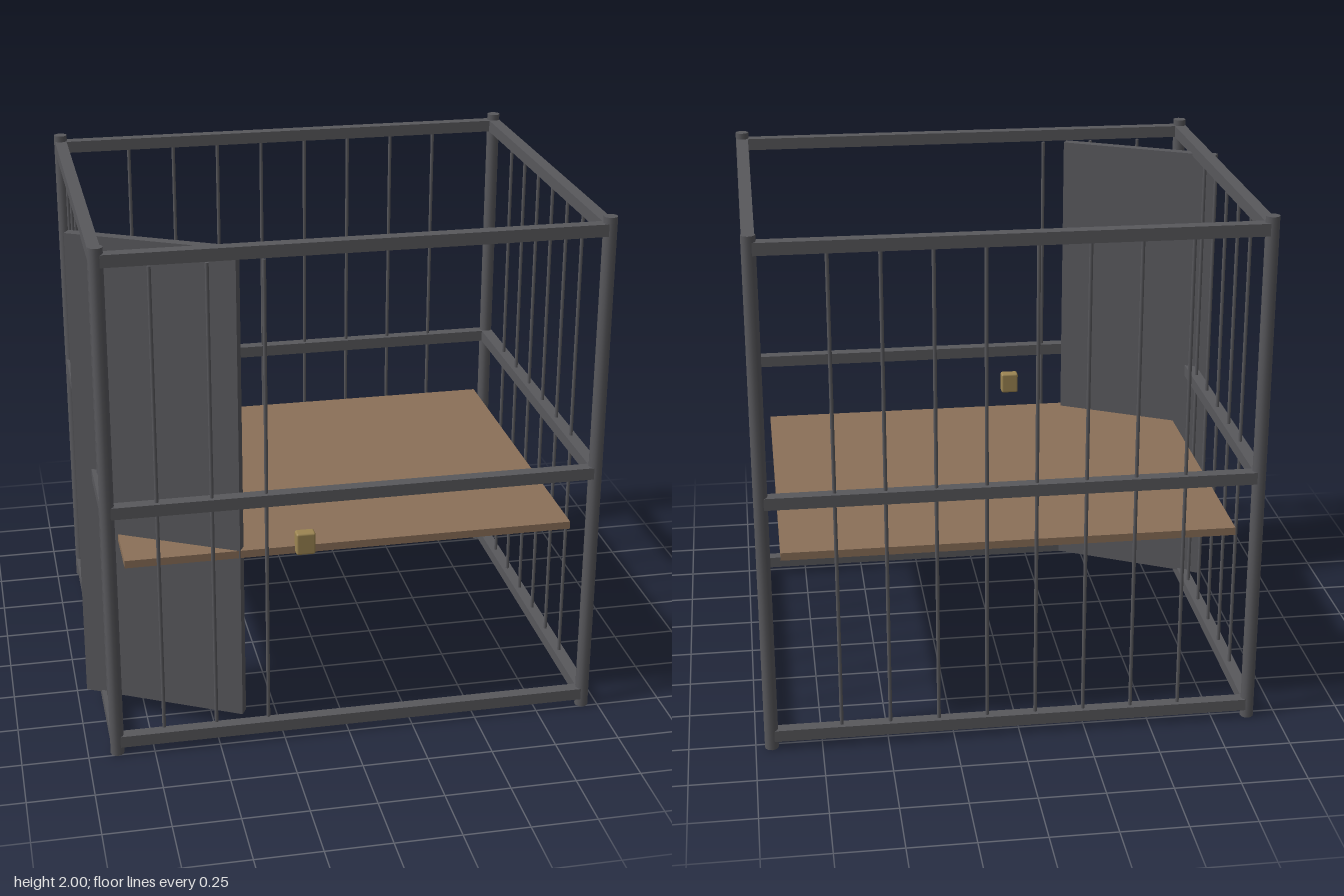
import * as THREE from 'three';
import { RoundedBoxGeometry } from 'three/addons/geometries/RoundedBoxGeometry.js';

const steel = new THREE.MeshStandardMaterial({ color: 0x58585c });
const wood = new THREE.MeshStandardMaterial({ color: 0x8b7058 });
const brass = new THREE.MeshStandardMaterial({ color: 0x9c8552 });

const X0 = -0.89, X1 = 0.94, Z0 = -0.77, Z1 = 0.73;
const CX = (X0 + X1) / 2, CZ = (Z0 + Z1) / 2, MID_Y = 1.005;

function add(parent, name, geometry, material, x, y, z) {
  const mesh = new THREE.Mesh(geometry, material);
  mesh.name = name;
  mesh.position.set(x, y, z);
  parent.add(mesh);
  return mesh;
}

export function createModel() {
  const cage = new THREE.Group();
  cage.name = 'cage';

  // Corner posts
  const postGeo = new THREE.CylinderGeometry(0.026, 0.026, 2, 12);
  for (const x of [X0, X1]) {
    for (const z of [Z0, Z1]) add(cage, 'cornerPost', postGeo, steel, x, 1, z);
  }

  // Horizontal rails at three heights, running post centre to post centre
  const railX = new THREE.BoxGeometry(X1 - X0, 0.046, 0.046);
  const railZ = new THREE.BoxGeometry(0.046, 0.046, Z1 - Z0);
  for (const y of [0.055, MID_Y, 1.953]) {
    add(cage, 'frontRail', railX, steel, CX, y, Z1);
    add(cage, 'backRail', railX, steel, CX, y, Z0);
    add(cage, 'rightRail', railZ, steel, X0, y, CZ);
    add(cage, 'leftRail', railZ, steel, X1, y, CZ);
  }

  // Thin vertical bars: eight at the back, six on each side
  const barGeo = new THREE.CylinderGeometry(0.007, 0.007, 1.88, 8);
  const step = 0.184;
  for (let i = 0; i < 8; i++) {
    add(cage, 'backBar', barGeo, steel, 0.031 + (i - 3.5) * step, MID_Y, Z0);
  }
  for (let i = 0; i < 6; i++) {
    const z = CZ - 0.003 + (i - 2.5) * step;
    add(cage, 'rightBar', barGeo, steel, X0, MID_Y, z);
    add(cage, 'leftBar', barGeo, steel, X1, MID_Y, z);
  }

  // Three shorter bars beside the door opening
  const frontBarGeo = new THREE.CylinderGeometry(0.007, 0.007, 1.83, 8);
  for (const x of [-0.71, -0.51, -0.31]) {
    add(cage, 'frontBar', frontBarGeo, steel, x, MID_Y, Z1);
  }

  // Door panel swung inward
  const door = add(cage, 'door', new THREE.BoxGeometry(0.645, 1.87, 0.04), steel, -0.675, MID_Y, 0.498);
  door.rotation.y = -THREE.MathUtils.degToRad(28);

  // Wooden shelf and brass latch
  add(cage, 'shelf', new THREE.BoxGeometry(1.705, 0.03, 1.37), wood, 0.024, 0.755, -0.02);
  add(cage, 'latch', new RoundedBoxGeometry(0.072, 0.086, 0.045, 2, 0.008), brass, -0.175, 0.838, 0.772);

  return cage;
}
